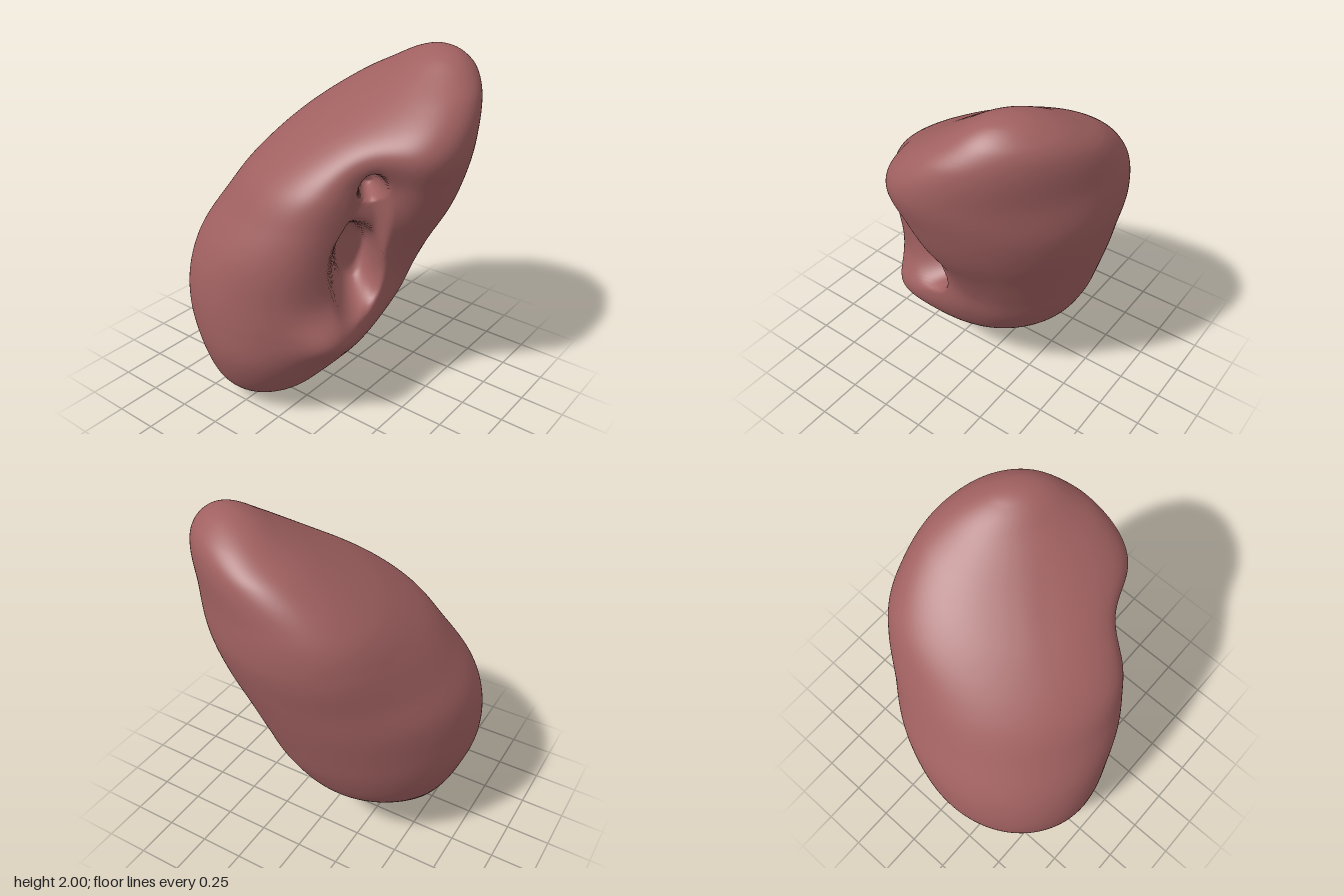
import * as THREE from 'three';

// Body sections: y, x min, x max, z min, z max, diagonal skew
const SECTIONS = [
  [0.02, -0.42, -0.2, 0.15, 0.4, 0],
  [0.1, -0.52, -0.02, 0.0, 0.53, 0],
  [0.2, -0.58, 0.09, -0.13, 0.61, 0],
  [0.4, -0.67, 0.26, -0.36, 0.69, -0.03],
  [0.6, -0.735, 0.37, -0.48, 0.71, -0.08],
  [0.8, -0.745, 0.44, -0.55, 0.7, -0.09],
  [1.0, -0.71, 0.53, -0.61, 0.665, -0.05],
  [1.2, -0.61, 0.63, -0.66, 0.595, 0.01],
  [1.4, -0.495, 0.7, -0.7, 0.51, 0.1],
  [1.6, -0.34, 0.75, -0.7, 0.33, 0.28],
  [1.8, -0.08, 0.705, -0.67, 0.03, 0.38],
  [1.9, 0.11, 0.63, -0.6, -0.13, 0.35],
  [1.98, 0.29, 0.52, -0.47, -0.27, 0.35],
];

// Openings of the hollow: centre y, centre u, slant, radius y, radius u, depth
const POCKETS = [
  [1.06, 0.09, 0.12, 0.44, 0.13, 0.08],
  [0.93, 0.07, -0.1, 0.28, 0.15, 0.18],
  [1.4, 0.14, 0, 0.09, 0.07, 0.15],
];

// Soft swellings: centre y, centre u, side of v, spread y, spread u, height
const SWELLINGS = [
  [1.15, 0.13, 1, 0.34, 0.19, -0.16],
  [1.42, 0.15, 1, 0.1, 0.1, -0.07],
  [0.55, -0.05, 1, 0.1, 0.13, 0.095],
  [1.4, 0.22, -1, 0.18, 0.25, 0.03],
];

const roundness = (y) => Math.sqrt(Math.max(0, y * (2 - y)));

// Smooth cubic interpolation through rows of [y, ...values]
function sample(rows, y) {
  const last = rows.length - 1;
  let i = 0;
  while (i < last - 1 && y > rows[i + 1][0]) i++;
  const h = rows[i + 1][0] - rows[i][0];
  const t = THREE.MathUtils.clamp((y - rows[i][0]) / h, 0, 1);
  const slope = (k, c) => {
    const p = rows[Math.max(k - 1, 0)], n = rows[Math.min(k + 1, last)];
    return (n[c] - p[c]) / (n[0] - p[0]);
  };
  return rows[0].slice(1).map((_, n) => {
    const c = n + 1, t2 = t * t, t3 = t2 * t;
    return (2 * t3 - 3 * t2 + 1) * rows[i][c] + (t3 - 2 * t2 + t) * h * slope(i, c)
      + (3 * t2 - 2 * t3) * rows[i + 1][c] + (t3 - t2) * h * slope(i + 1, c);
  });
}

// Shift along v, the direction the hollow faces; u runs across it
function relief(y, u, v) {
  let shift = 0;
  for (const [sy, su, side, wy, wu, height] of SWELLINGS) {
    const bump = Math.exp(-0.5 * (((y - sy) / wy) ** 2 + ((u - su) / wu) ** 2));
    shift += side * height * bump * THREE.MathUtils.smoothstep(v * side, 0, 0.2);
  }
  for (const [py, pu, slant, ry, ru, depth] of POCKETS) {
    const r = Math.hypot((y - py) / ry, (u - pu - slant * (y - py)) / ru);
    const fade = 1 - THREE.MathUtils.smoothstep(r, 0.55, 1.08);
    shift -= depth * fade * THREE.MathUtils.smoothstep(v, 0, 0.2);
  }
  return shift;
}

function bodyGeometry(rings = 200, sides = 320) {
  // Centre and relative width of each section
  const rows = SECTIONS.map(([y, x0, x1, z0, z1, skew]) => {
    const k = 2 * roundness(y);
    return [y, (x0 + x1) / 2, (z0 + z1) / 2, (x1 - x0) / k, (z1 - z0) / k, skew];
  });
  const positions = [], index = [];
  for (let i = 0; i <= rings; i++) {
    const y = 1 - Math.cos((i / rings) * Math.PI);
    const [cx, cz, rx, rz, skew] = sample(rows, y);
    const k = roundness(y);
    for (let j = 0; j < sides; j++) {
      const t = (j / sides) * Math.PI * 2;
      const x = cx + rx * k * Math.cos(t);
      const z = cz + rz * k * Math.sin(t + skew);
      const shift = relief(y, (x - z) * Math.SQRT1_2, (x + z) * Math.SQRT1_2) * Math.SQRT1_2;
      positions.push(x + shift, y, z + shift);
      if (i < rings) {
        const a = i * sides + j, b = i * sides + ((j + 1) % sides);
        index.push(a, a + sides, b, b, a + sides, b + sides);
      }
    }
  }
  const geometry = new THREE.BufferGeometry();
  geometry.setAttribute('position', new THREE.Float32BufferAttribute(positions, 3));
  geometry.setIndex(index);
  geometry.computeVertexNormals();
  return geometry;
}

export function createModel() {
  const group = new THREE.Group();
  group.name = 'kidney';
  const material = new THREE.MeshStandardMaterial({ color: 0xa06060 });

  // Bean-shaped body with its hollow
  const body = new THREE.Mesh(bodyGeometry(), material);
  body.name = 'kidneyBody';
  group.add(body);
  return group;
}
